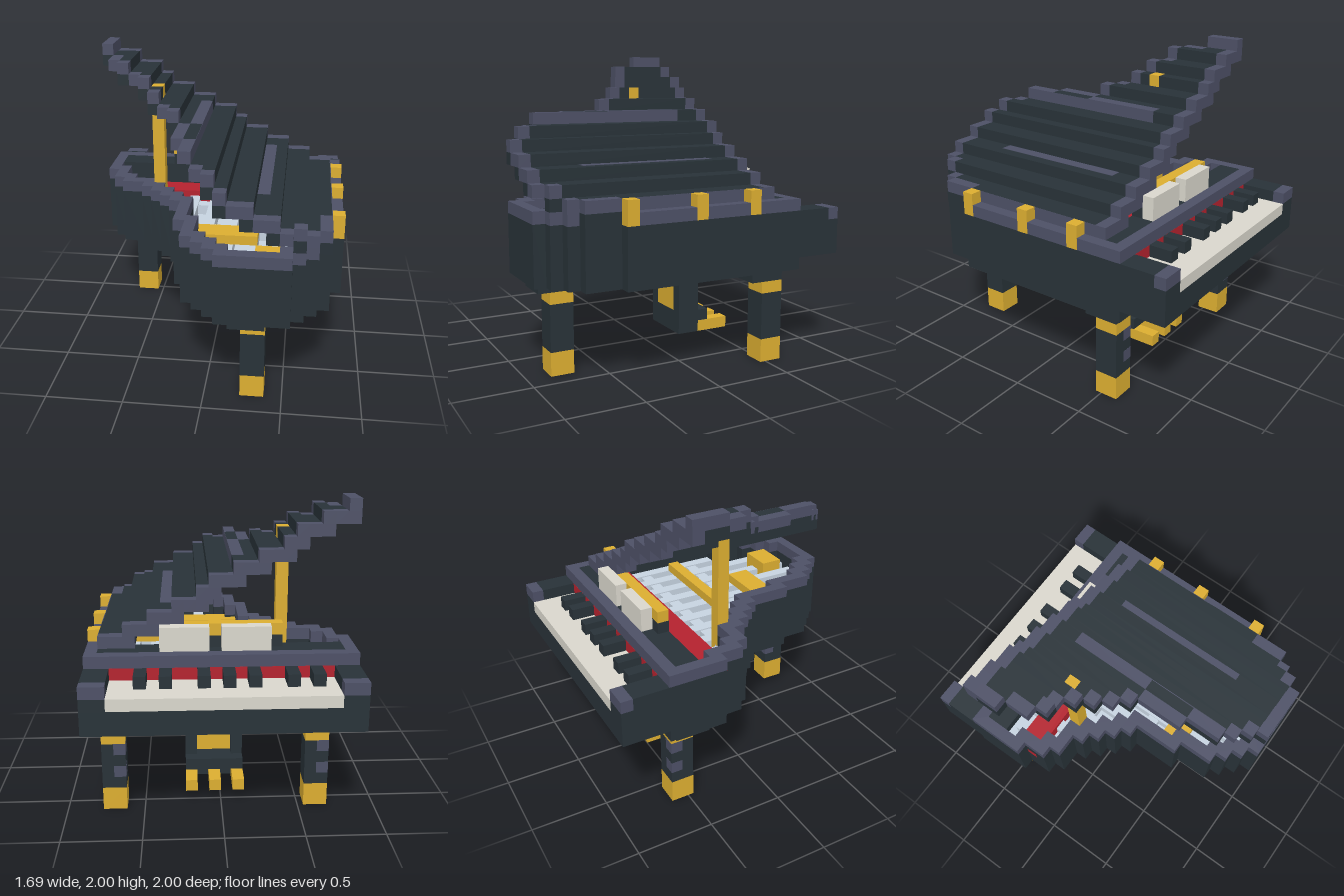
import * as THREE from 'three';

const U = 1 / 13; // one block
const mat = (name, color) => {
  const m = new THREE.MeshStandardMaterial({ color });
  m.name = name;
  return m;
};

// Case outline, one entry per block row from the keyboard rail (row 4) to the tail (row 25)
const ROW0 = 4, ROW1 = 26;
const LEFT = [0, 0, 0, 0, 0, 1, 1, 2, 4, 5, 6, 7, 8, 8, 8, 8, 9, 9, 9, 10, 11, 12];
const RIGHT = [22, 22, 22, 22, 22, 22, 22, 22, 22, 22, 22, 22, 22, 22, 22, 22, 21, 21, 21, 20, 19, 18];
const lo = k => LEFT[k - ROW0], hi = k => RIGHT[k - ROW0];
const clampRow = k => Math.min(Math.max(k, ROW0), ROW1 - 1);
const inLo = k => Math.max(lo(clampRow(k - 1)), lo(k), lo(clampRow(k + 1))) + 1;
const inHi = k => Math.min(hi(clampRow(k - 1)), hi(k), hi(clampRow(k + 1))) - 1;

// Last row reached by a column of the outline
function columnEnd(i) {
  let end = 6;
  for (let k = ROW0; k < ROW1; k++) if (lo(k) <= i && i < hi(k)) end = Math.max(end, k + 1);
  return end;
}

// Stepped contour between two edge functions
function contour(a, b, k0, k1) {
  const pts = [];
  const p = (i, k) => pts.push(new THREE.Vector2((i - 11) * U, (k - 13) * U));
  for (let k = k0; k < k1; k++) {
    if (k === k0 || b(k) !== b(k - 1)) p(b(k), k);
    if (k === k1 - 1 || b(k) !== b(k + 1)) p(b(k), k + 1);
  }
  for (let k = k1 - 1; k >= k0; k--) {
    if (k === k1 - 1 || a(k) !== a(k + 1)) p(a(k), k + 1);
    if (k === k0 || a(k) !== a(k - 1)) p(a(k), k);
  }
  return pts;
}

export function createModel() {
  const dark = mat('ebony', 0x283238);
  const edge = mat('slate edge', 0x4d5066);
  const gold = mat('brass', 0xdcae31);
  const ivory = mat('ivory', 0xdad7cd);
  const red = mat('red felt', 0xb4222e);
  const silver = mat('silver strings', 0xc6d3e0);
  const brown = mat('brown wood', 0xa8652f);
  const tan = mat('light wood', 0xd08e55);

  const root = new THREE.Group();
  root.name = 'grandPiano';

  // Box given by block ranges along x, y and z
  function box(name, m, i0, i1, j0, j1, k0, k1) {
    const g = new THREE.BoxGeometry((i1 - i0) * U, (j1 - j0) * U, (k1 - k0) * U);
    g.translate(((i0 + i1) / 2 - 11) * U, (j0 + j1) / 2 * U, ((k0 + k1) / 2 - 13) * U);
    const mesh = new THREE.Mesh(g, m);
    mesh.name = name;
    root.add(mesh);
  }

  // Horizontal slab with the case outline
  function slab(name, m, pts, hole, j0, j1) {
    const shape = new THREE.Shape(pts);
    if (hole) shape.holes.push(new THREE.Path(hole));
    const g = new THREE.ExtrudeGeometry(shape, { depth: (j1 - j0) * U, bevelEnabled: false });
    g.rotateX(Math.PI / 2).translate(0, j1 * U, 0);
    const mesh = new THREE.Mesh(g, m);
    mesh.name = name;
    root.add(mesh);
  }

  // Case walls, rim and boards
  const outer = contour(lo, hi, ROW0, ROW1);
  const inner = contour(inLo, inHi, ROW0 + 1, ROW1 - 1);
  slab('caseWall', dark, outer, inner, 8, 13);
  slab('caseRim', edge, outer, inner, 13, 14);
  slab('soundboard', brown, inner, null, 9, 10);
  slab('stringBed', silver, inner, null, 10, 11);
  box('rimCorner', dark, 20, 21.03, 13, 14, 20, 23.03);
  box('bottomRail', dark, 1, 21, 8, 9, 5, 8);
  box('rib', tan, 7, 15, 8, 9, 9, 10);
  box('rib', tan, 13, 20, 8, 9, 20, 21);

  // Strings, brass frame and felt
  for (let i = 2; i < 21; i += 2) {
    let end = 7;
    for (let k = 7; k < 25; k++) if (inLo(k) <= i && i < inHi(k)) end = k + 1;
    if (end > 8) box('string', silver, i, i + 1, 11, 12, 7, end);
  }
  for (const k of [11, 16]) box('bridge', silver, inLo(k), inHi(k), 11, 11.9, k, k + 1);
  box('frameBar', gold, 11, 20, 12, 12.8, 14, 15);
  box('frameBar', gold, 9, 15, 12, 12.8, 18, 20);
  box('frameTail', gold, 15, 18, 11, 13, 22, 24);
  box('felt', red, 1, 21, 11, 12.5, 8, 10);

  // Keyboard
  box('keyBed', dark, 0, 22, 9, 11, 0, 4);
  for (const i of [0, 20]) {
    box('cheek', dark, i, i + 2, 11, 13, 1, 4);
    box('cheekEnd', dark, i, i + 2, 11, 12, 0, 1);
    box('cheekCap', edge, i, i + 2, 12, 13, 0, 1);
  }
  box('whiteKeys', ivory, 2, 20, 11, 12, 0, 4);
  for (const i of [3, 5, 8, 10, 12, 15, 17]) box('blackKey', dark, i, i + 1, 12, 13, 2, 4);
  box('keyFelt', red, 2, 20, 12, 13, 3.99, 4);

  // Music desk
  box('deskPanel', dark, 1, 21, 13, 14, 5, 7);
  box('deskBack', dark, 6, 16, 14, 15, 6, 7);
  box('deskBar', gold, 6, 16, 15, 16, 6, 7);
  for (const i of [7, 12]) box('musicSheet', ivory, i, i + 4, 14, 16, 5, 6);

  // Raised lid: stepped columns with a lighter border
  const steps = [[0, 1, 25], [1, 3, 24], [3, 5, 23], [5, 6, 22], [6, 8, 21], [8, 10, 20],
    [10, 12, 19], [12, 13, 18], [13, 15, 17], [15, 17, 16], [17, 19, 15], [19, 21, 14]];
  for (const [c0, c1, j] of steps) {
    for (let i = c0; i < c1; i++) {
      const end = columnEnd(i);
      const border = Math.max(7, Math.min(i ? columnEnd(i - 1) : 6, columnEnd(i + 1), end - 1));
      box('lidFrontEdge', edge, i, i + 1, j, j + 1, 6, 7);
      if (border > 7) box('lidPanel', dark, i, i + 1, j, j + 1, 7, border);
      box('lidBorder', edge, i, i + 1, j, j + 1, border, end);
    }
    if (j > 14) {
      box('lidUnderEdge', edge, c1 - 1, c1, j - 1, j, 6, 7);
      box('lidUnderStep', dark, c1 - 1, c1, j - 1, j, 7, columnEnd(c1 - 1));
    }
  }
  box('lidStripe', edge, 9, 10.02, 20.95, 21.02, 9, 16);
  box('lidStripeSide', edge, 9.95, 10.02, 20, 21, 9, 23);
  box('lidStripe', edge, 15, 16, 16.95, 17.02, 9, 21);
  box('lidSideEdge', edge, 20.95, 21.02, 14, 15, 6, 20);

  // Lid prop and hinges
  box('lidProp', gold, 4.98, 6.02, 11, 23.02, 11, 12);
  for (const k of [8, 13, 19]) box('hinge', gold, 21, 22.02, 13, 15.01, k, k + 1.02);

  // Legs with caps and lighter inlays on the back corner
  for (const [cap, leg, capK, k] of [[1, 2, 5, 5], [18, 19, 5, 5], [13, 14, 22, 22]]) {
    box('legCap', dark, cap, cap + 3, 7, 8, capK, capK + 3);
    box('legCollar', gold, leg, leg + 2, 6, 7, k, k + 2);
    box('leg', dark, leg, leg + 2, 2, 6, k, k + 2);
    box('legFoot', gold, leg, leg + 2, 0, 2, k, k + 2);
    for (const j of [3, 5]) box('legInlay', edge, leg - 0.01, leg + 1, j, j + 1, k - 0.01, k + 1);
  }

  // Pedal lyre
  for (const i of [9, 13]) box('lyrePost', dark, i, i + 1, 3, 9, 9, 11);
  box('lyrePanel', gold, 10, 13, 3, 9, 10, 11);
  box('lyreBase', dark, 9, 14, 1, 3, 9, 11);
  box('pedalGuard', dark, 9, 14, 2, 3, 8, 9);
  for (const i of [9, 11, 13]) box('pedal', gold, i, i + 1, 1, 2, 6, 9);

  return root;
}
